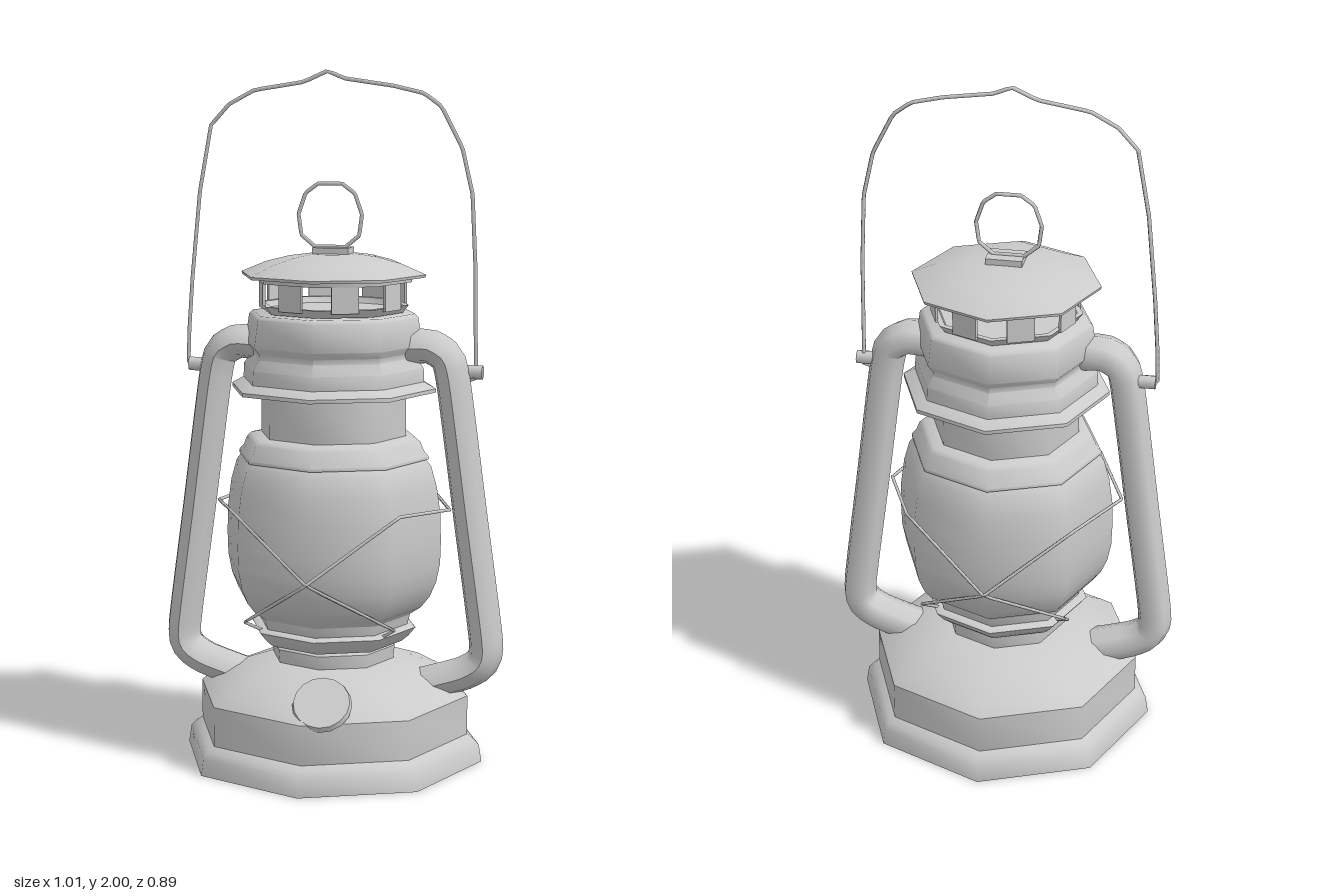
import * as THREE from 'three';
import { toCreasedNormals } from 'three/addons/utils/BufferGeometryUtils.js';

const grey = new THREE.MeshStandardMaterial({ color: 0xcccccc, side: THREE.DoubleSide });

export function createModel() {
  const model = new THREE.Group();
  model.name = 'lantern';
  const body = new THREE.Group();
  body.name = 'body';
  body.rotation.y = -0.09;
  model.add(body);

  const add = (name, geometry, parent = body) => {
    const mesh = new THREE.Mesh(geometry, grey);
    mesh.name = name;
    parent.add(mesh);
    return mesh;
  };

  // Eight-sided turned part; profile of [radius, y] from bottom to top
  const turned = (name, profile) => {
    const points = profile.map(([r, y]) => new THREE.Vector2(r, y));
    return add(name, toCreasedNormals(new THREE.LatheGeometry(points, 8), 0.9));
  };

  // Tube along points; tension 0 keeps the spans straight
  const tube = (points, radius, sides, tension = 0, closed = false) => {
    const curve = new THREE.CatmullRomCurve3(
      points.map((p) => new THREE.Vector3(...p)), closed, 'catmullrom', tension);
    return new THREE.TubeGeometry(curve, points.length * 6, radius, sides, closed);
  };

  // Fuel tank and its neck
  turned('fuelTank', [[0, 0], [0.445, 0], [0.437, 0.05], [0.42, 0.068], [0.402, 0.08],
    [0.402, 0.195], [0.365, 0.222], [0.3, 0.258], [0.19, 0.296], [0, 0.3]]);
  turned('tankNeck', [[0.18, 0.28], [0.185, 0.335], [0.17, 0.348], [0, 0.348]]);

  // Burner plate under the glass
  turned('burner', [[0, 0.345], [0.205, 0.348], [0.225, 0.365], [0.247, 0.392], [0.24, 0.397],
    [0.222, 0.4], [0.23, 0.43], [0, 0.43]]);

  // Glass globe
  turned('globe', [[0.215, 0.41], [0.232, 0.432], [0.262, 0.452], [0.288, 0.485], [0.307, 0.53],
    [0.318, 0.585], [0.32, 0.65], [0.318, 0.73], [0.307, 0.81], [0.29, 0.87], [0.27, 0.895]]);

  // Collar, flue and ribbed chimney
  turned('collar', [[0.26, 0.89], [0.282, 0.89], [0.282, 0.899], [0.268, 0.915],
    [0.258, 0.94], [0.245, 0.952], [0.2, 0.958]]);
  turned('flue', [[0.215, 0.94], [0.215, 1.1]]);
  turned('chimney', [[0.2, 1.085], [0.302, 1.085], [0.302, 1.096], [0.268, 1.115], [0.266, 1.155],
    [0.245, 1.185], [0.246, 1.2], [0.262, 1.22], [0.25, 1.3], [0.24, 1.31], [0, 1.31]]);

  // Vent: lower dish, upper ring and the posts between the openings
  turned('ventDish', [[0, 1.308], [0.205, 1.312], [0.222, 1.335], [0.205, 1.335], [0.195, 1.318], [0, 1.318]]);
  turned('ventRing', [[0.215, 1.4], [0.23, 1.4], [0.232, 1.42], [0.215, 1.42]]);
  for (let i = 0; i < 8; i++) {
    const angle = (i + 0.5) * Math.PI / 4;
    const post = add('ventPost', new THREE.BoxGeometry(0.078, 0.09, 0.008));
    post.position.set(Math.sin(angle) * 0.205, 1.37, Math.cos(angle) * 0.205);
    post.rotation.y = angle;
  }

  // Hood with its block and ring
  turned('hood', [[0, 1.412], [0.27, 1.414], [0.272, 1.422], [0.2, 1.452], [0.13, 1.47], [0.07, 1.478], [0, 1.48]]);
  add('ringBlock', new THREE.BoxGeometry(0.105, 0.022, 0.075)).position.set(0, 1.485, 0);
  const half = [[0.045, 1.497], [0.085, 1.53], [0.093, 1.59], [0.072, 1.65], [0.035, 1.677]];
  const ring = [...half, ...half.map(([x, y]) => [-x, y]).reverse()];
  add('liftRing', tube(ring.map(([x, y]) => [x - 0.008, y, 0]), 0.006, 5, 0, true));

  // Side air tubes, flattened in x, with lugs for the bail
  for (const s of [1, -1]) {
    const path = [[0.22, 1.215], [0.285, 1.217], [0.335, 1.185], [0.355, 1.1], [0.405, 0.73], [0.455, 0.36],
      [0.44, 0.295], [0.385, 0.26], [0.26, 0.22]];
    const geometry = tube(path.map(([x, y]) => [s * x, y, 0]), 0.05, 8, 0.3);
    geometry.scale(1, 1, 1.32);
    geometry.computeVertexNormals();
    add(s > 0 ? 'leftAirTube' : 'rightAirTube', geometry);
    const lug = add('bailLug', new THREE.CylinderGeometry(0.02, 0.02, 0.07, 8));
    lug.rotation.z = Math.PI / 2;
    lug.position.set(s * 0.4, 1.145, -0.015);
  }

  // Bent wire bail
  const bail = [[-0.39, 1.135], [-0.44, 1.14], [-0.436, 1.25], [-0.425, 1.4], [-0.4, 1.65], [-0.365, 1.84],
    [-0.31, 1.9], [-0.235, 1.94], [-0.09, 1.963], [-0.02, 1.994], [0.03, 1.973], [0.17, 1.953],
    [0.26, 1.932], [0.31, 1.895], [0.37, 1.78], [0.4, 1.65], [0.41, 1.45], [0.415, 1.12], [0.38, 1.125]];
  add('bail', tube(bail.map(([x, y]) => [x, y, -0.018]), 0.006, 5));

  // Guard wires crossing in front of and behind the globe
  for (const sx of [1, -1]) {
    for (const sz of [1, -1]) {
      add('guardWire', tube([[sx * 0.345, 0.745, 0], [sx * 0.245, 0.765, sz * 0.235],
        [0, 0.58, sz * 0.338], [-sx * 0.22, 0.425, sz * 0.18], [-sx * 0.18, 0.395, sz * 0.14]], 0.005, 5));
    }
  }

  // Tilted filler cap on the tank's shoulder
  const filler = new THREE.Group();
  filler.name = 'fillerCap';
  filler.position.set(0.015, 0.246, 0.342);
  filler.rotation.x = Math.PI / 4;
  model.add(filler);
  add('capLid', new THREE.CylinderGeometry(0.08, 0.085, 0.018, 16), filler).position.y = -0.006;
  add('capNeck', new THREE.CylinderGeometry(0.068, 0.068, 0.08, 16), filler).position.y = -0.05;

  return model;
}
